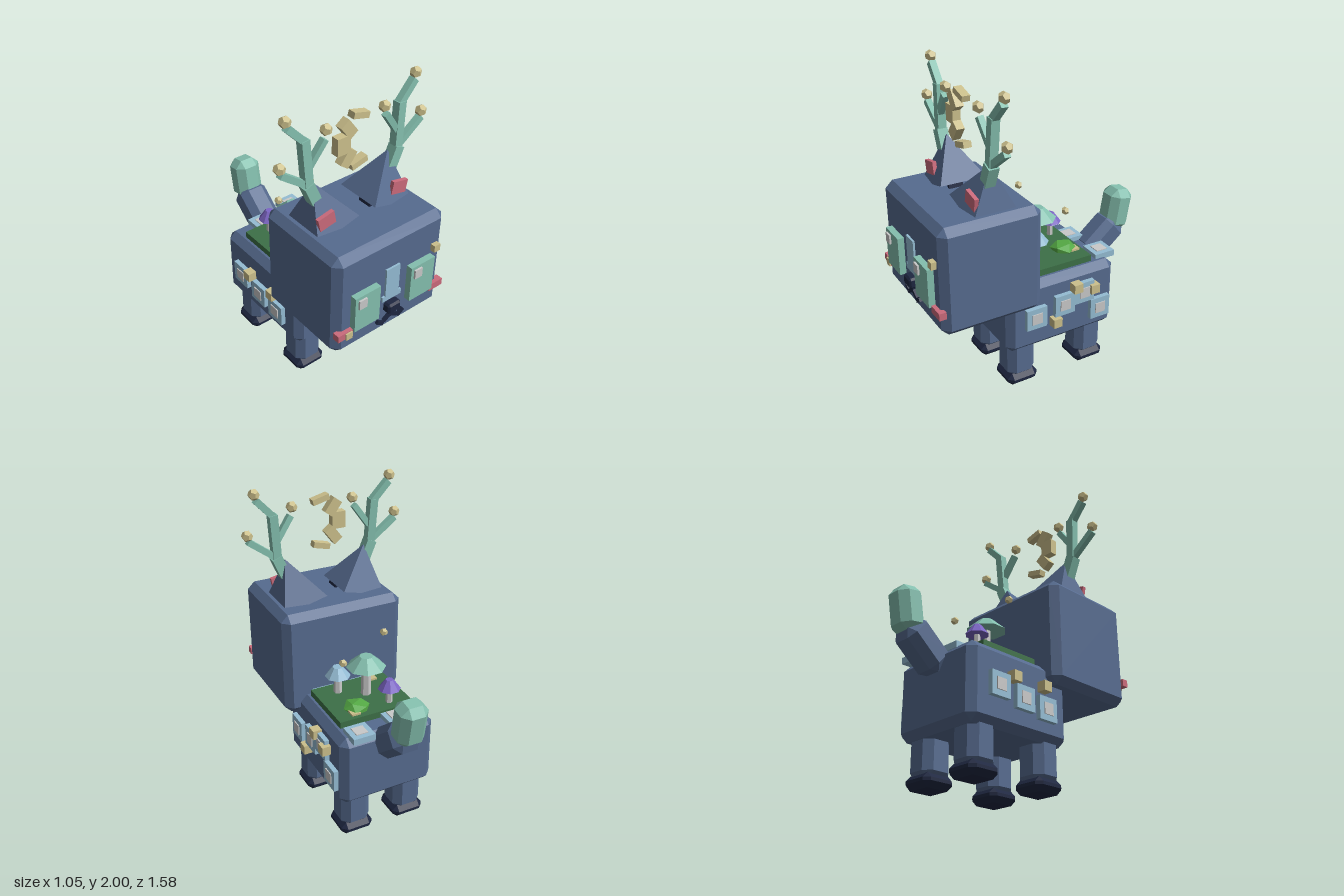
import * as THREE from 'three';
import { ConvexGeometry } from 'three/addons/geometries/ConvexGeometry.js';

const mat = (name, color) => {
  const m = new THREE.MeshStandardMaterial({ color });
  m.name = name;
  m.flatShading = true;
  return m;
};

export function createModel() {
  const blue = mat('slate blue', 0x566b8f), teal = mat('teal', 0x84bfae);
  const sky = mat('sky blue', 0x94bcd3), gold = mat('pale gold', 0xccc08c);
  const pink = mat('pink', 0xcb6b7c), grey = mat('light grey', 0xc9c9c9);
  const dark = mat('dark navy', 0x1e2741), grass = mat('grass green', 0x3d7047);
  const lime = mat('leaf green', 0x55aa45), purple = mat('purple', 0x7d66c6);

  const model = new THREE.Group();
  model.name = 'antleredCreature';

  const add = (name, geometry, material, [x, y, z], parent = model) => {
    const mesh = new THREE.Mesh(geometry, material);
    mesh.name = name;
    mesh.position.set(x, y, z);
    parent.add(mesh);
    return mesh;
  };
  const box = (name, material, size, pos, rz = 0, parent = model) => {
    const mesh = add(name, new THREE.BoxGeometry(...size), material, pos, parent);
    mesh.rotation.z = rz;
    return mesh;
  };
  // Box with all edges cut at 45 degrees
  const chamferBox = (w, h, d, c) => {
    const points = [];
    for (const x of [-1, 1]) for (const y of [-1, 1]) for (const z of [-1, 1]) {
      const a = x * w / 2, b = y * h / 2, e = z * d / 2;
      points.push(
        new THREE.Vector3(a, b - y * c, e - z * c),
        new THREE.Vector3(a - x * c, b, e - z * c),
        new THREE.Vector3(a - x * c, b - y * c, e));
    }
    return new ConvexGeometry(points);
  };
  // Square bar between two points
  const bar = (name, material, from, to, width, parent) => {
    const a = new THREE.Vector3(...from), b = new THREE.Vector3(...to);
    const mid = a.clone().add(b).multiplyScalar(0.5);
    const mesh = box(name, material, [width, a.distanceTo(b), width], mid.toArray(), 0, parent);
    const dir = b.sub(a).normalize();
    mesh.quaternion.setFromUnitVectors(new THREE.Vector3(0, 1, 0), dir);
    return mesh;
  };

  // Head, body and legs
  add('head', chamferBox(0.8, 0.675, 0.64, 0.045), blue, [0, 0.948, 0.415]);
  add('body', chamferBox(0.62, 0.465, 0.765, 0.045), blue, [0, 0.503, -0.102]);
  for (const x of [-0.18, 0.18]) for (const z of [0.155, -0.34]) {
    add('leg', chamferBox(0.19, 0.3, 0.19, 0.045), blue, [x, 0.2, z]);
    add('foot', chamferBox(0.21, 0.085, 0.21, 0.033), dark, [x, 0.0425, z]);
  }

  // Tail
  add('tailBase', chamferBox(0.19, 0.3, 0.19, 0.045), blue, [0, 0.735, -0.571]).rotation.x = -0.87;
  add('tailTip', chamferBox(0.175, 0.275, 0.165, 0.045), teal, [0, 0.918, -0.693]).rotation.x = -0.16;

  // Ears and antlers, one side and its mirror
  for (const s of [-1, 1]) {
    const lean = -s * 0.25;
    const earGeo = new THREE.ConeGeometry(0.208, 0.27, 4).rotateY(Math.PI / 4).translate(0, 0.135, 0);
    add('ear', earGeo, blue, [s * 0.2, 1.28, 0.365]).rotation.z = lean;
    box('innerEar', pink, [0.11, 0.08, 0.025], [s * 0.262, 1.355, 0.475], -s * 0.2);
    box('browMark', dark, [0.018, 0.04, 0.09], [s * 0.078, 1.295, 0.41], lean);

    const antler = new THREE.Group();
    antler.name = s > 0 ? 'leftAntler' : 'rightAntler';
    model.add(antler);
    const branches = [
      [[0.265, 1.43, 0.38], [0.32, 1.56, 0.38], 0.065],
      [[0.313, 1.54, 0.38], [0.332, 1.83, 0.37], 0.052],
      [[0.305, 1.665, 0.38], [0.21, 1.8, 0.39], 0.036],
      [[0.325, 1.815, 0.37], [0.432, 1.93, 0.365], 0.042],
      [[0.315, 1.555, 0.38], [0.488, 1.685, 0.38], 0.038],
    ];
    for (const [a, b, w] of branches) {
      bar('antlerBranch', teal, [s * a[0], a[1], a[2]], [s * b[0], b[1], b[2]], w, antler);
    }
    for (const [x, y, z] of [[0.44, 1.965, 0.365], [0.2, 1.85, 0.39], [0.49, 1.72, 0.38]]) {
      add('antlerBud', new THREE.DodecahedronGeometry(0.035), gold, [s * x, y, z], antler);
    }
  }

  // Floating crescent between the antlers
  const crescent = [
    [0.015, 1.87, 0.11, 0.036, -0.25],
    [-0.065, 1.813, 0.065, 0.105, 0.64],
    [-0.1, 1.727, 0.088, 0.105, 0],
    [-0.065, 1.637, 0.065, 0.105, -0.64],
    [0.015, 1.58, 0.11, 0.036, 0.25],
  ];
  for (const [x, y, w, h, r] of crescent) box('crescentPiece', gold, [w, h, 0.05], [x, y, 0.395], r);

  // Face
  for (const s of [-1, 1]) {
    box('eye', teal, [0.18, 0.24, 0.05], [s * 0.205, 0.9, 0.75]);
    box('eyeGlint', grey, [0.055, 0.06, 0.03], [s * 0.205 - 0.042, 0.97, 0.772]);
    box('cheek', pink, [0.105, 0.045, 0.045], [s * 0.345, 0.77, 0.738]);
    box('mouthInner', dark, [0.055, 0.024, 0.03], [s * 0.028, 0.716, 0.738], -s * 0.6);
    box('mouthOuter', dark, [0.055, 0.024, 0.03], [s * 0.077, 0.702, 0.738], s * 0.6);
  }
  box('noseBridge', sky, [0.1, 0.2, 0.025], [0, 0.975, 0.735]);
  box('muzzle', sky, [0.14, 0.035, 0.025], [0, 0.868, 0.735]);
  add('nose', chamferBox(0.095, 0.068, 0.06, 0.012), dark, [0, 0.8, 0.753]);
  box('mouthStem', dark, [0.018, 0.06, 0.03], [0, 0.745, 0.738]);
  box('faceFleck', gold, [0.045, 0.045, 0.04], [0.317, 1.063, 0.747]);
  box('faceFleck', gold, [0.045, 0.045, 0.04], [-0.325, 0.765, 0.75]);

  // Raised square patches on the flanks
  const flank = (s, patches, flecks) => {
    for (const [z, y] of patches) {
      box('flankPatch', sky, [0.04, 0.14, 0.14], [s * 0.32, y, z]);
      box('flankPatchCentre', grey, [0.02, 0.07, 0.07], [s * 0.336, y, z]);
    }
    for (const [z, y] of flecks) box('flankFleck', gold, [0.06, 0.06, 0.06], [s * 0.336, y, z]);
  };
  flank(1, [[0.1, 0.505], [-0.1, 0.54], [-0.24, 0.585], [-0.36, 0.44]],
    [[-0.035, 0.44], [-0.18, 0.64], [-0.305, 0.6]]);
  flank(-1, [[-0.29, 0.5], [-0.1, 0.47], [0.08, 0.45]], [[-0.185, 0.57], [0.055, 0.575]]);

  // Patches on the back
  for (const [x, z] of [[-0.085, -0.385], [0.18, -0.445], [-0.1, 0.03], [0.16, 0.03]]) {
    box('backPatch', sky, [0.14, 0.04, 0.14], [x, 0.745, z]);
    box('backPatchCentre', grey, [0.075, 0.02, 0.075], [x, 0.76, z]);
  }

  // Garden
  box('lawn', grass, [0.5, 0.045, 0.41], [0, 0.755, -0.135]);
  box('lawnFleck', gold, [0.058, 0.02, 0.058], [0.13, 0.78, -0.285]);
  box('lawnFleck', gold, [0.058, 0.02, 0.058], [-0.145, 0.78, 0.025]);
  const mushroom = (material, x, z, stemR, capY, capR, topR, capH) => {
    const h = capY - 0.77;
    add('mushroomStem', new THREE.CylinderGeometry(stemR * 0.85, stemR, h, 6), grey, [x, 0.77 + h / 2, z]);
    add('mushroomCap', new THREE.CylinderGeometry(topR, capR, capH, 8).rotateY(Math.PI / 8),
      material, [x, capY + capH / 2, z]);
  };
  mushroom(teal, -0.035, -0.118, 0.032, 0.968, 0.122, 0.042, 0.072);
  mushroom(sky, 0.11, -0.023, 0.027, 0.893, 0.08, 0.032, 0.062);
  mushroom(purple, -0.115, -0.265, 0.022, 0.87, 0.07, 0.024, 0.063);
  const bush = add('bush', new THREE.IcosahedronGeometry(0.085), lime, [0.09, 0.785, -0.235]);
  bush.scale.y = 0.5;
  bush.rotation.y = 0.5;
  for (const p of [[-0.18, 1.145, -0.07], [0.16, 1.08, -0.198]]) {
    add('firefly', new THREE.DodecahedronGeometry(0.025), gold, p);
  }

  return model;
}
